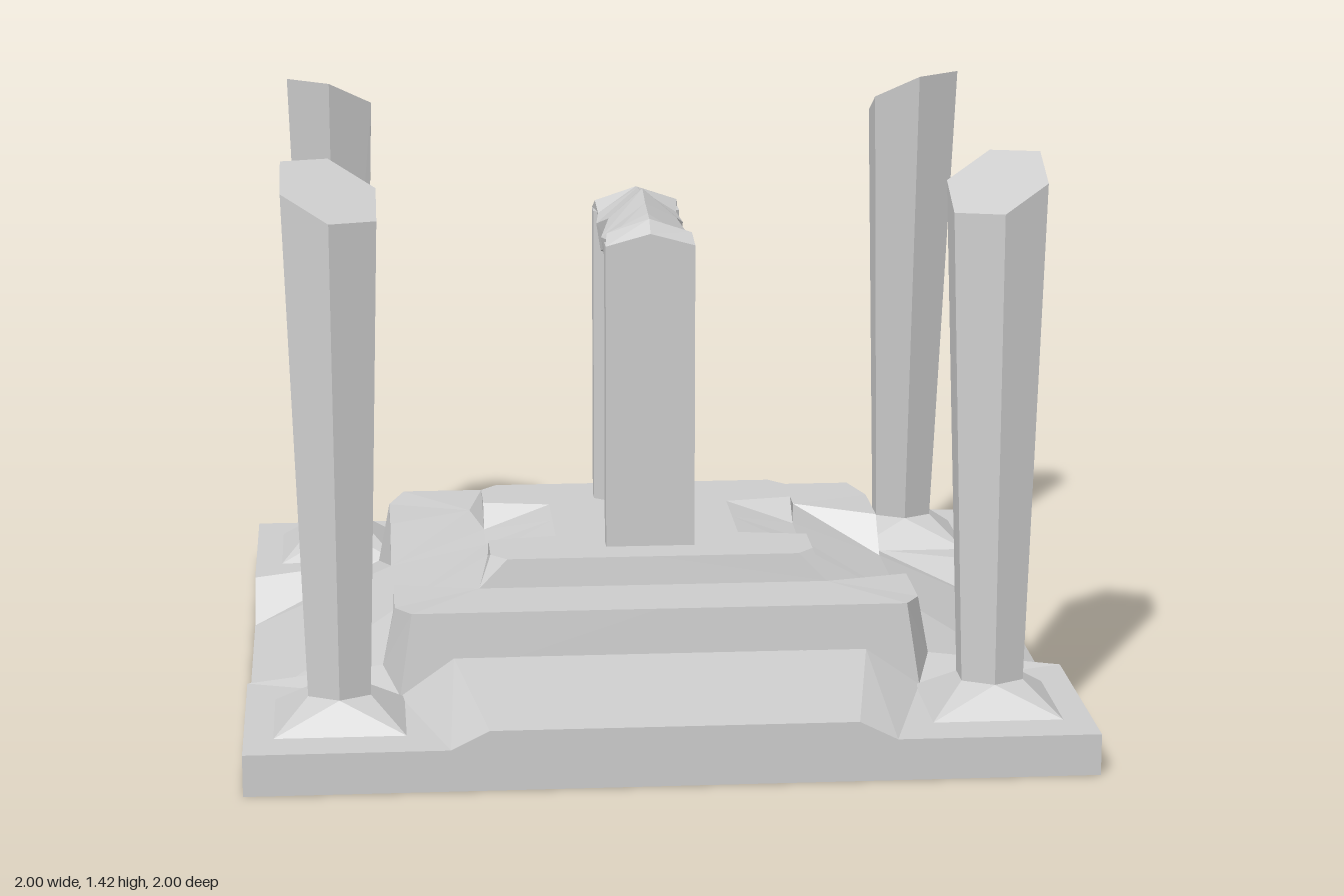
import * as THREE from 'three';
import { ConvexGeometry } from 'three/addons/geometries/ConvexGeometry.js';

const material = new THREE.MeshStandardMaterial({ color: 0xcccccc, flatShading: true });

// Flat-shaded geometry from a flat list of triangle corners
function fromTriangles(corners) {
  const geometry = new THREE.BufferGeometry();
  geometry.setAttribute('position', new THREE.Float32BufferAttribute(corners.flat(), 3));
  geometry.computeVertexNormals();
  return geometry;
}

function named(name, geometry) {
  const mesh = new THREE.Mesh(geometry, material);
  mesh.name = name;
  return mesh;
}

// Corners of one quarter of the stepped mound (x >= 0, z >= 0)
const P = {
  // top plateau
  T0: [0, 0.37, 0], T1: [0, 0.37, 0.355], T2: [0.36, 0.37, 0.355], T3: [0.4, 0.37, 0.31], T4: [0.4, 0.37, 0.18],
  // side ramp: centre line and edge
  R0: [0.23, 0.37, 0], R1: [0.4, 0.31, 0], R2: [0.64, 0.2, 0], R3: [1, 0, 0],
  S0: [0.23, 0.37, 0.15], S1: [0.4, 0.315, 0.12], S2: [0.64, 0.2, 0.2], S3: [1, 0, 0.35],
  // middle step
  B1: [0, 0.3, 0.365], B2: [0.43, 0.3, 0.365],
  P1: [0, 0.3, 0.57], P2: [0.6, 0.3, 0.57], P3: [0.64, 0.29, 0.48], P4: [0.64, 0.29, 0.28],
  // front apron
  M1: [0, 0.19, 0.58], M2: [0.5, 0.19, 0.58], F1: [0, 0.145, 1], F2: [0.43, 0.145, 1], F3: [0.52, 0.1, 1],
  // slab
  G1: [0.67, 0.14, 0.46], G2: [0.63, 0.1, 0.59], E: [1, 0.1, 0.46], C: [1, 0.1, 1],
  O: [0, 0, 0], D0: [0, 0, 1], D1: [1, 0, 1],
};
const FACES = [
  'S0 R0 T0 T1 T2 T3 T4', 'R0 S0 S1 R1', 'S0 T4 S1', 'R1 S1 S2 R2', 'R2 S2 S3 R3', // plateau and ramp
  'T1 B1 B2 T2', 'T2 B2 T3', 'T3 B2 S1 T4', // upper riser
  'B2 B1 P1 P2 P3 P4 S2 S1', 'P3 G1 S2 P4', 'P2 G2 G1 P3', 'P1 M1 M2 G2 P2', // middle step
  'M1 F1 F2 M2', 'M2 F2 F3 G2', 'G2 F3 C E G1', 'G1 E S3 S2', // apron and slab top
  'D0 D1 C F3 F2 F1', 'D1 S3 E C', 'O R3 D1 D0', // outer walls and underside
];

function moundGeometry() {
  const corners = [];
  for (const sx of [1, -1]) for (const sz of [1, -1]) {
    for (const face of FACES) {
      const pts = face.split(' ').map((k) => [P[k][0] * sx, P[k][1], P[k][2] * sz]);
      if (sx * sz < 0) pts.reverse();
      // keep the fan centred on the first listed corner
      if (sx * sz < 0) pts.unshift(pts.pop());
      for (let i = 1; i < pts.length - 1; i++) corners.push(pts[0], pts[i], pts[i + 1]);
    }
  }
  return fromTriangles(corners);
}

// Leaning six-sided pillar with a slanted top, and its flared foot
function cornerPillar(sx, sz) {
  const group = new THREE.Group();
  group.name = 'cornerPillar';
  const shaftPoints = [], footPoints = [];
  for (let i = 0; i < 6; i++) {
    const a = (i * Math.PI) / 3;
    const s = Math.sin(a), c = Math.cos(a);
    const bottom = new THREE.Vector3(sx * (0.775 + 0.085 * s), 0.17, sz * (0.745 + 0.08 * c));
    const dx = 0.127 * s, dz = 0.12 * c;
    const top = new THREE.Vector3(sx * (0.78 + dx), 1.355 + 0.3 * dx - 0.46 * dz, sz * (0.68 + dz));
    shaftPoints.push(bottom, top);
    footPoints.push(bottom.clone());
  }
  for (const x of [0.62, 0.93]) for (const z of [0.59, 0.885])
    footPoints.push(new THREE.Vector3(sx * x, 0.1, sz * z));
  group.add(named('pillarShaft', new ConvexGeometry(shaftPoints)));
  group.add(named('pillarFoot', new ConvexGeometry(footPoints)));
  return group;
}

// Upright of the arch with its inner edges bevelled
function archPost(side) {
  const shape = new THREE.Shape([
    [-0.11, 0.26], [-0.11, 0.205], [-0.07, 0.172], [0.07, 0.172], [0.11, 0.205], [0.11, 0.26],
  ].map(([x, z]) => new THREE.Vector2(x, -z * side)));
  const geometry = new THREE.ExtrudeGeometry(shape, { depth: 0.78, bevelEnabled: false });
  geometry.rotateX(-Math.PI / 2).translate(0, 0.35, 0);
  return named('archPost', geometry);
}

// Rough lintel lofted through six-sided sections along z
function lintelGeometry() {
  // z, half width, ridge, shoulder, lower side, keel
  const half = [
    [0.26, 0.11, 1.16, 1.13, 1.125, 1.12],
    [0.22, 0.105, 1.19, 1.155, 1.05, 1.04],
    [0.175, 0.1, 1.195, 1.13, 1.04, 1.03],
    [0.09, 0.11, 1.205, 1.12, 1.05, 1.0],
  ];
  const stations = [
    ...half.map(([z, ...r]) => [-z, ...r]),
    [0, 0.085, 1.225, 1.15, 1.08, 1.055],
    ...half.slice().reverse(),
  ];
  const rings = stations.map(([z, w, ridge, shoulder, low, keel]) => [
    [0, ridge, z], [-w, shoulder, z], [-w * 0.9, low, z], [0, keel, z], [w * 0.9, low, z], [w, shoulder, z],
  ]);
  const corners = [];
  for (let s = 0; s < rings.length - 1; s++) {
    for (let i = 0; i < 6; i++) {
      const j = (i + 1) % 6;
      const a = rings[s][i], b = rings[s][j], c = rings[s + 1][j], d = rings[s + 1][i];
      corners.push(a, b, c, a, c, d);
    }
  }
  const first = rings[0], last = rings[rings.length - 1];
  for (let i = 1; i < 5; i++) {
    corners.push(first[0], first[i + 1], first[i]);
    corners.push(last[0], last[i], last[i + 1]);
  }
  return fromTriangles(corners);
}

export function createModel() {
  const model = new THREE.Group();
  model.name = 'standingStonesShrine';
  model.add(named('steppedMound', moundGeometry()));
  for (const sx of [1, -1]) for (const sz of [1, -1]) model.add(cornerPillar(sx, sz));

  const arch = new THREE.Group();
  arch.name = 'arch';
  arch.add(archPost(1), archPost(-1), named('archLintel', lintelGeometry()));
  model.add(arch);
  return model;
}
